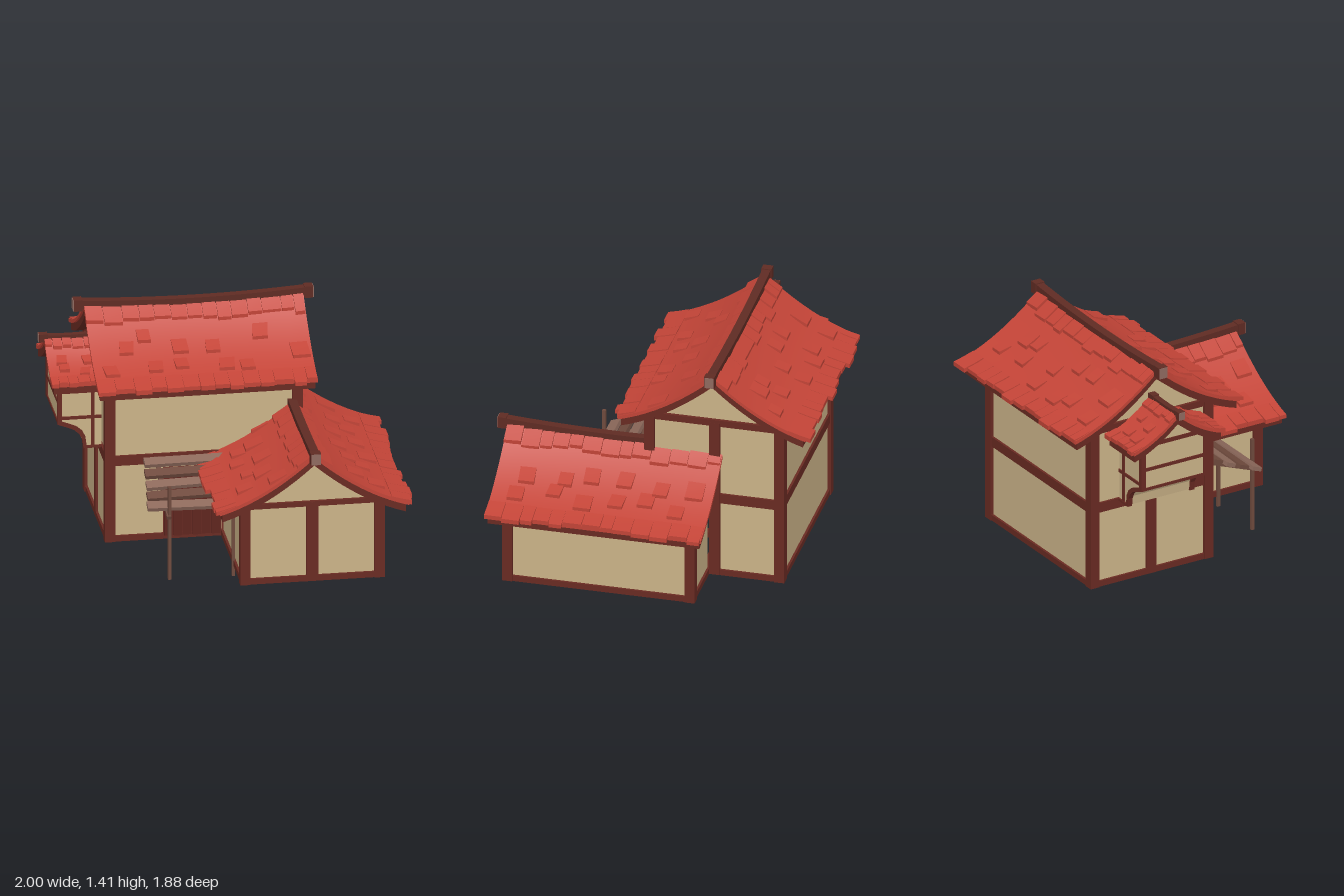
import * as THREE from 'three';

const mat = (name, color, side = THREE.FrontSide) => {
  const m = new THREE.MeshStandardMaterial({ color, side });
  m.name = name;
  return m;
};
const M = {
  plaster: mat('plaster', 0xcbb388, THREE.DoubleSide),
  timber: mat('dark red timber', 0x692a22),
  tile: mat('red roof tile', 0xc34437),
  ridge: mat('ridge wood', 0x5f2b23),
  cap: mat('ridge end', 0x8f6a60),
  door: mat('door wood', 0x5e241d),
  plank: mat('old plank', 0x6f4a3d),
  paleplank: mat('pale plank', 0x8c685a),
};

let seed = 7;
const rnd = (a = 0, b = 1) => {
  seed = (seed * 16807) % 2147483647;
  return a + (b - a) * (seed / 2147483647);
};

function add(parent, name, geometry, material) {
  const mesh = new THREE.Mesh(geometry, material);
  mesh.name = name;
  parent.add(mesh);
  return mesh;
}

// Box given by its limits on each axis
function box(parent, name, material, x0, x1, y0, y1, z0, z1) {
  const mesh = add(parent, name, new THREE.BoxGeometry(x1 - x0, y1 - y0, z1 - z0), material);
  mesh.position.set((x0 + x1) / 2, (y0 + y1) / 2, (z0 + z1) / 2);
  return mesh;
}

// Corner posts and horizontal rails around a rectangle
function frame(parent, x0, x1, z0, z1, top, rails) {
  const w = 0.06;
  for (const x of [x0, x1 - w]) for (const z of [z0, z1 - w])
    box(parent, 'cornerPost', M.timber, x, x + w, 0.06, top, z, z + w);
  const i = 0.006;
  for (const [a, b] of rails) {
    for (const z of [z0 + i, z1 - 0.05 - i]) box(parent, 'rail', M.timber, x0 + i, x1 - i, a, b, z, z + 0.05);
    for (const x of [x0 + i, x1 - 0.05 - i]) box(parent, 'rail', M.timber, x, x + 0.05, a, b, z0 + i, z1 - i);
  }
}

// Curved gable roof: ridge along local x, eaves at local y = 0
function roof(name, { x0, x1, r0, r1, span, drop, sag, cols, rows, size, gables, gableHalf, gableY }) {
  const g = new THREE.Group();
  g.name = name;
  const mid = (x0 + x1) / 2, half = (x1 - x0) / 2;
  const height = (s) => drop * (0.48 * (1 - s) + 0.52 * (1 - s) ** 2);
  const dip = (x, s) => sag * (1 - ((x - mid) / half) ** 2) * Math.max(0, 1 - s);

  // Box bent onto the slope, s running 0 at the ridge to 1 at the eave
  function bent(a, b, s0, s1, y0, y1, nx, ns, skew = 0, lift = 0) {
    const geo = new THREE.BoxGeometry(b - a, y1 - y0, 1, nx, 1, ns);
    const p = geo.attributes.position;
    for (let i = 0; i < p.count; i++) {
      const t = p.getZ(i) + 0.5, s = s0 + (s1 - s0) * t;
      const x = p.getX(i) + (a + b) / 2 + skew * t;
      p.setXYZ(i, x, p.getY(i) + (y0 + y1) / 2 + lift * t + height(s) - dip(x, s), s * span);
    }
    geo.computeVertexNormals();
    return geo;
  }

  for (const turn of [0, 1]) {
    const slope = new THREE.Group();
    slope.name = 'slope';
    // A half turn makes the second slope; its x limits swap sign
    const a = turn ? -x1 : x0, b = turn ? -x0 : x1;
    const flip = turn ? -1 : 1;
    slope.rotation.y = turn * Math.PI;
    const place = (part, ax, bx, s0, s1, y0, y1, nx, ns, m, skew, lift) => {
      // Bend in roof coordinates, then shift into the turned slope
      const c = (ax + bx) / 2 * flip, h = (bx - ax) / 2;
      const geo = bent(c - h, c + h, s0, s1, y0, y1, nx, ns, skew, lift);
      if (turn) geo.translate(-2 * c, 0, 0);
      add(slope, part, geo, m);
    };
    place('roofSurface', a, b, 0, 1, -0.022, 0, 12, 10, M.tile);
    place('roofBoards', a + 0.012, b - 0.012, 0, 0.97, -0.07, -0.022, 12, 10, M.timber);
    // Uneven row at the eave and below the ridge
    for (let x = a; x < b - 0.03;) {
      const w = Math.min(rnd(0.7, 1.2) * size, b - x);
      place('eaveTile', x, x + w - 0.006, 1 - size / span, 1 + rnd(0, 0.06), -0.02, rnd(0.002, 0.008), 1, 2, M.tile, 0, 0.005);
      const q = rnd(0.02, 0.05);
      place('ridgeTile', x, x + w - 0.005, q, q + rnd(0.7, 1) * size / span, -0.01, rnd(0.006, 0.013), 1, 2, M.tile, 0, 0.01);
      x += w;
    }
    // Scattered raised tiles
    for (let r = 0; r < rows; r++) for (let c = 0; c < cols; c++) {
      const cell = (b - a - 0.1) / cols;
      const x = a + 0.03 + (c + rnd(0.1, 0.8)) * cell;
      const s = 0.25 + 0.5 * (r + rnd(0, 0.7)) / rows;
      const w = rnd(0.75, 1.05) * size;
      if (x + w < b - 0.02)
        place('raisedTile', x, x + w, s, s + w / span, -0.015, 0.006, 1, 2, M.tile, rnd(-0.012, 0.012), 0.014);
    }
    g.add(slope);
  }

  // Sagging ridge beam with end caps
  const k = drop < 0.25 ? 0.7 : 1;
  const beam = new THREE.BoxGeometry(r1 - r0, 0.055 * k, 0.05 * k, 14, 1, 1);
  beam.translate((r0 + r1) / 2, drop - 0.005, 0);
  const p = beam.attributes.position;
  for (let i = 0; i < p.count; i++) p.setY(i, p.getY(i) - dip(p.getX(i), 0));
  beam.computeVertexNormals();
  add(g, 'ridgeBeam', beam, M.ridge);
  for (const [x, d] of [[r0, 1], [r1, -1]]) {
    const y = drop - dip(x, 0);
    box(g, 'ridgeEnd', M.ridge, Math.min(x, x + d * 0.05), Math.max(x, x + d * 0.05), y - 0.045 * k, y + 0.025 * k, -0.03 * k, 0.03 * k);
    box(g, 'ridgeCap', M.cap, x - 0.004, x + 0.004, y - 0.043 * k, y + 0.022 * k, -0.027 * k, 0.027 * k);
  }

  // Plaster gables under the curve
  for (const x of gables) {
    const pts = [new THREE.Vector2(-gableHalf, gableY)];
    for (let i = 0; i <= 16; i++) {
      const d = gableHalf * (i / 8 - 1);
      pts.push(new THREE.Vector2(d, Math.max(gableY, height(Math.abs(d) / span) - 0.05)));
    }
    pts.push(new THREE.Vector2(gableHalf, gableY));
    const gable = add(g, 'gable', new THREE.ShapeGeometry(new THREE.Shape(pts)), M.plaster);
    gable.rotation.y = Math.PI / 2;
    gable.position.x = x;
  }
  return g;
}

function mainHouse() {
  const g = new THREE.Group();
  g.name = 'mainHouse';
  frame(g, -0.68, 0.47, -0.77, 0.06, 1.07, [[0.06, 0.095], [0.53, 0.59], [1.03, 1.07]]);
  const wall = (...a) => box(g, 'wall', M.plaster, ...a);
  wall(-0.66, 0.45, 0.07, 1.05, -0.75, -0.74);
  wall(-0.66, -0.65, 0.07, 1.05, -0.75, 0.04);
  wall(-0.66, 0.45, 0.55, 1.05, 0.03, 0.04);
  wall(-0.66, 0, 0.07, 0.55, 0.03, 0.04);
  wall(0.44, 0.45, 0.55, 1.05, -0.75, 0.04);
  wall(0.44, 0.45, 0.07, 0.55, -0.75, -0.33);
  for (const x of [-0.675, 0.415]) box(g, 'middlePost', M.timber, x, x + 0.05, 0.06, 1.05, -0.387, -0.323);
  // Plank door
  for (let i = 0; i < 6; i++) {
    const x = -0.335 + i * 0.055;
    box(g, 'doorPlank', M.door, x, x + 0.049, 0.08, i === 0 ? 0.285 : 0.5, 0.04, 0.058 + (i % 2) * 0.008);
  }
  box(g, 'doorBack', M.timber, -0.34, -0.005, 0.08, 0.5, 0.035, 0.05);
  return g;
}

function wing() {
  const g = new THREE.Group();
  g.name = 'wing';
  frame(g, -0.01, 0.83, -0.33, 0.81, 0.555, [[0.06, 0.095], [0.525, 0.555]]);
  const wall = (...a) => box(g, 'wall', M.plaster, ...a);
  wall(0.01, 0.81, 0.07, 0.55, 0.78, 0.79);
  wall(0.8, 0.81, 0.07, 0.55, -0.31, 0.79);
  wall(0.01, 0.02, 0.07, 0.55, 0.05, 0.79);
  wall(0.45, 0.81, 0.07, 0.55, -0.31, -0.3);
  box(g, 'middlePost', M.timber, 0.375, 0.445, 0.06, 0.55, 0.755, 0.805);
  return g;
}

function bay() {
  const g = new THREE.Group();
  g.name = 'bay';
  const z0 = -0.58, z1 = -0.13;
  const curve = [[-0.775, 0.575], [-0.782, 0.63], [-0.80, 0.665], [-0.83, 0.692], [-0.87, 0.71], [-0.925, 0.73]];
  const extrude = (pts, depth) => new THREE.ExtrudeGeometry(
    new THREE.Shape(pts.map((q) => new THREE.Vector2(...q))), { depth, bevelEnabled: false });
  const core = curve.map(([x, y]) => [x + 0.008, y + 0.006]);
  add(g, 'bayWall', extrude([[-0.67, 1.03], ...[[-0.67, 0.58]], ...core, [-0.917, 1.03]], z1 - z0 - 0.02), M.plaster).position.z = z0 + 0.01;
  const inner = curve.map(([x, y]) => [x + 0.018, y + 0.018]).reverse();
  for (const z of [z0, z1 - 0.03]) {
    add(g, 'curvedBrace', extrude([...curve, ...inner], 0.03), M.timber).position.z = z;
    box(g, 'bayPost', M.timber, -0.925, -0.9, 0.73, 1.02, z, z + 0.03);
    box(g, 'bayMullion', M.timber, -0.73, -0.71, 0.58, 1.02, z + 0.002, z + 0.028);
    box(g, 'bayRail', M.timber, -0.92, -0.67, 0.757, 0.775, z + 0.002, z + 0.028);
    box(g, 'bayTopRail', M.timber, -0.92, -0.67, 1.0, 1.025, z + 0.002, z + 0.028);
    box(g, 'bayFoot', M.timber, -0.775, -0.67, 0.575, 0.59, z, z + 0.03);
  }
  for (const [a, b] of [[0.728, 0.745], [0.85, 0.87], [1.0, 1.025]])
    box(g, 'bayOuterRail', M.timber, -0.923, -0.9, a, b, z0 + 0.002, z1 - 0.002);
  return g;
}

// Lean-to of loose planks over the door
function awning() {
  const g = new THREE.Group();
  g.name = 'awning';
  for (const [x, top] of [[-0.375, 0.575], [-0.005, 0.45]])
    box(g, 'awningPost', M.plank, x - 0.009, x + 0.009, 0, top, 0.5, 0.52);
  for (const x of [-0.38, -0.04]) {
    const rafter = box(g, 'rafter', M.plank, x - 0.013, x + 0.013, 0.465, 0.487, 0.03, 0.54);
    rafter.rotation.x = 0.36;
  }
  for (let i = 0; i < 5; i++) {
    const z = 0.135 + i * 0.084;
    const y = 0.575 - i * 0.034;
    const plank = box(g, 'plank', i % 2 ? M.plank : M.paleplank, -0.485 - rnd(-0.02, 0.02), 0.0, y - 0.012, y + 0.012, z - 0.031, z + 0.031);
    plank.rotation.set(0.36, rnd(-0.03, 0.03), rnd(-0.04, 0.04));
  }
  return g;
}

export function createModel() {
  const model = new THREE.Group();
  model.name = 'timberHouse';
  model.add(mainHouse(), wing(), bay(), awning());

  const mainRoof = roof('mainRoof', {
    x0: -0.74, x1: 0.535, r0: -0.8, r1: 0.59, span: 0.555, drop: 0.325, sag: 0.022,
    cols: 6, rows: 2, size: 0.1, gables: [-0.655, 0.445], gableHalf: 0.41, gableY: -0.02,
  });
  mainRoof.position.set(0, 1.06, -0.355);

  const wingRoof = roof('wingRoof', {
    x0: -0.4, x1: 0.88, r0: -0.3, r1: 0.935, span: 0.55, drop: 0.325, sag: 0.02,
    cols: 6, rows: 2, size: 0.1, gables: [-0.305, 0.785], gableHalf: 0.41, gableY: -0.01,
  });
  wingRoof.position.set(0.41, 0.55, 0);
  wingRoof.rotation.y = -Math.PI / 2;

  const bayRoof = roof('bayRoof', {
    x0: -0.97, x1: -0.67, r0: -1, r1: -0.67, span: 0.3, drop: 0.175, sag: 0.006,
    cols: 2, rows: 2, size: 0.06, gables: [-0.918], gableHalf: 0.225, gableY: -0.01,
  });
  bayRoof.position.set(0, 1.015, -0.355);

  model.add(mainRoof, wingRoof, bayRoof);
  return model;
}
